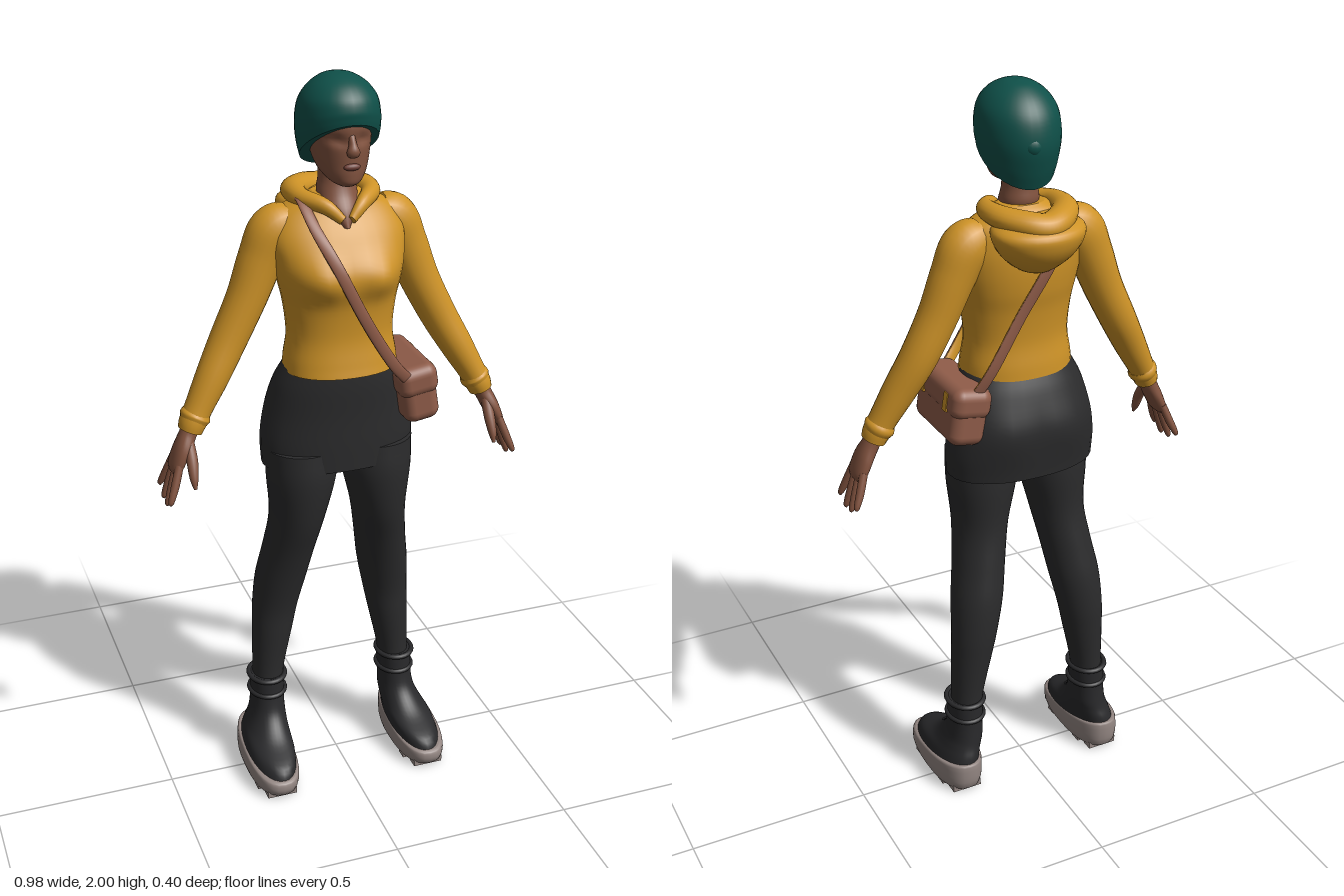
import * as THREE from 'three';
import { RoundedBoxGeometry } from 'three/addons/geometries/RoundedBoxGeometry.js';

const V = (x, y, z) => new THREE.Vector3(x, y, z);
const material = (name, color) => {
  const m = new THREE.MeshStandardMaterial({ color });
  m.name = name;
  return m;
};

// Skin over rings of {c, u, v}; u x v points along the run of rings
function skin(rings, power = 1, sides = 32) {
  const pos = [], index = [];
  const bend = (k) => Math.sign(k) * Math.abs(k) ** power;
  const addRing = ({ c, u, v }) => {
    const start = pos.length / 3;
    for (let j = 0; j < sides; j++) {
      const a = (j / sides) * Math.PI * 2;
      const p = c.clone().addScaledVector(u, bend(Math.cos(a))).addScaledVector(v, bend(Math.sin(a)));
      pos.push(p.x, p.y, p.z);
    }
    return start;
  };
  rings.forEach(addRing);
  for (let i = 0; i < rings.length - 1; i++) {
    for (let j = 0; j < sides; j++) {
      const a = i * sides + j, b = i * sides + ((j + 1) % sides);
      index.push(a, b, a + sides, b, b + sides, a + sides);
    }
  }
  // end caps with their own vertices so the rims stay crisp
  for (const end of [0, 1]) {
    const ring = rings[end ? rings.length - 1 : 0];
    const s = addRing(ring), mid = pos.length / 3;
    pos.push(ring.c.x, ring.c.y, ring.c.z);
    for (let j = 0; j < sides; j++) {
      const k = (j + 1) % sides;
      index.push(mid, s + (end ? j : k), s + (end ? k : j));
    }
  }
  const g = new THREE.BufferGeometry();
  g.setAttribute('position', new THREE.Float32BufferAttribute(pos, 3));
  g.setIndex(index);
  g.computeVertexNormals();
  return g;
}

// Smoothly resample rows of [x, y, z, a, b, tilt]
function resample(rows, steps) {
  const curve = (i) => new THREE.CatmullRomCurve3(
    rows.map((r) => V(r[i], r[i + 1], r[i + 2] ?? 0)), false, 'catmullrom', 0.5);
  const centre = curve(0), size = curve(3), n = (rows.length - 1) * steps;
  return Array.from({ length: n + 1 }, (_, i) => ({
    c: centre.getPoint(i / n), t: centre.getTangent(i / n), s: size.getPoint(i / n),
  }));
}

// Horizontal cross-sections listed from top to bottom; tilt lifts the front
function stack(rows, power = 1, steps = 5) {
  return skin(resample(rows, steps).map(({ c, s }) => ({ c, u: V(s.x, 0, 0), v: V(0, s.z, s.y) })), power);
}

// Cross-sections square to a path; the b radius lies towards ref
function limb(rows, ref = () => V(0, 0, 1), steps = 6) {
  return skin(resample(rows, steps).map(({ c, t, s }) => {
    const u = ref(c).cross(t).normalize();
    const v = t.clone().cross(u);
    return { c, u: u.multiplyScalar(s.x), v: v.multiplyScalar(s.y) };
  }), 1, 20);
}

// Push the surface along z by a rule
function pushZ(g, rule) {
  const p = g.attributes.position;
  for (let i = 0; i < p.count; i++) p.setZ(i, p.getZ(i) + rule(p.getX(i), p.getY(i), p.getZ(i)));
  g.computeVertexNormals();
  return g;
}
const bump = (dx, dy, w, h) => Math.exp(-((dx / w) ** 2) - (dy / h) ** 2);

export function createModel() {
  const root = new THREE.Group();
  const skinTone = material('skin', 0x82533f);
  const lipTone = material('lips', 0x6f4037);
  const mustard = material('mustard cloth', 0xce9327);
  const teal = material('teal knit', 0x0f5049);
  const charcoal = material('charcoal cloth', 0x2b2b2c);
  const bootBlack = material('boot black', 0x29292b);
  const rubber = material('sole rubber', 0x948783);
  const leather = material('brown leather', 0x8f5c49);
  const add = (name, geometry, mat, parent = root) => {
    const m = new THREE.Mesh(geometry, mat);
    m.name = name;
    parent.add(m);
    return m;
  };

  // Head, with shallow eye sockets
  add('head', pushZ(stack([
    [0, 1.95, 0.01, 0.06, 0.07], [0, 1.9, 0.015, 0.08, 0.103], [0, 1.85, 0.02, 0.078, 0.1],
    [0, 1.82, 0.023, 0.074, 0.097], [0, 1.79, 0.032, 0.067, 0.087], [0, 1.765, 0.046, 0.056, 0.073],
    [0, 1.745, 0.068, 0.038, 0.048], [0, 1.735, 0.078, 0.02, 0.025],
  ]), (x, y, z) => (z > 0.05 ? -0.011 * bump(Math.abs(x) - 0.032, y - 1.852, 0.017, 0.013) : 0)), skinTone);
  add('nose', limb([
    [0, 1.868, 0.113, 0.008, 0.006], [0, 1.845, 0.122, 0.01, 0.011],
    [0, 1.826, 0.127, 0.017, 0.014], [0, 1.815, 0.117, 0.01, 0.005],
  ]), skinTone);
  const lips = add('lips', new THREE.SphereGeometry(1, 16, 10), lipTone);
  lips.scale.set(0.022, 0.009, 0.009);
  lips.position.set(0, 1.788, 0.118);
  add('neck', stack([
    [0, 1.79, 0, 0.046, 0.045], [0, 1.74, 0, 0.046, 0.044], [0, 1.7, 0.005, 0.052, 0.052],
    [0, 1.665, 0.028, 0.046, 0.052], [0, 1.625, 0.055, 0.012, 0.04],
  ]), skinTone);

  // Knitted hat with a sloping hem
  add('hat', stack([
    [0, 2.0, 0.005, 0.004, 0.004, 0], [0, 1.993, 0.006, 0.038, 0.044, 0.004], [0, 1.97, 0.008, 0.073, 0.085, 0.01],
    [0, 1.935, 0.009, 0.097, 0.113, 0.018], [0, 1.89, 0.01, 0.105, 0.122, 0.035],
    [0, 1.85, 0.016, 0.104, 0.115, 0.056], [0, 1.82, 0.023, 0.098, 0.106, 0.073],
  ]), teal);
  const knot = add('hatFold', new THREE.SphereGeometry(0.03, 16, 12), teal);
  knot.position.set(0.01, 1.86, -0.085);

  // Hoodie body
  add('hoodieBody', pushZ(stack([
    [0, 1.7, -0.01, 0.06, 0.045], [0, 1.685, -0.01, 0.095, 0.062], [0, 1.655, -0.013, 0.152, 0.078],
    [0, 1.6, 0.002, 0.178, 0.1], [0, 1.54, 0.015, 0.174, 0.115], [0, 1.48, 0.022, 0.162, 0.117],
    [0, 1.42, 0.024, 0.149, 0.108], [0, 1.34, 0.025, 0.141, 0.103], [0, 1.275, 0.026, 0.15, 0.112],
    [0, 1.242, 0.028, 0.153, 0.117],
  ], 0.9), (x, y, z) => (z > 0.04 ? 0.03 * bump(Math.abs(x) - 0.072, y - 1.505, 0.06, 0.05) : 0)), mustard);

  // Hood lying on the back: a rolled rim and a hanging pouch
  const rim = [[0.012, 1.645, 0.088, 0.01, 0.012], [0.05, 1.678, 0.062, 0.018, 0.02], [0.092, 1.688, 0, 0.026, 0.024],
    [0.088, 1.688, -0.075, 0.034, 0.028], [0.045, 1.68, -0.13, 0.038, 0.032]];
  const mirrored = rim.map(([x, ...rest]) => [-x, ...rest]).reverse();
  const up = () => V(0, 1, 0);
  add('hoodRim', limb([...rim, [0, 1.672, -0.148, 0.04, 0.034], ...mirrored], up), mustard);
  add('hoodPouch', stack([
    [0, 1.685, -0.085, 0.08, 0.055], [0, 1.66, -0.1, 0.122, 0.095], [0, 1.625, -0.105, 0.118, 0.092],
    [0, 1.585, -0.1, 0.09, 0.075], [0, 1.55, -0.09, 0.045, 0.045], [0, 1.54, -0.085, 0.012, 0.015],
  ]), mustard);

  // Skirt
  add('skirt', pushZ(stack([
    [0, 1.26, 0.025, 0.148, 0.105], [0, 1.2, 0.012, 0.177, 0.118], [0, 1.12, 0, 0.198, 0.126],
    [0, 1.04, 0, 0.21, 0.125], [0, 0.967, 0.002, 0.208, 0.121],
  ], 0.92), (x, y, z) => (z < -0.04 ? -0.012 * bump(Math.abs(x) - 0.085, y - 1.09, 0.08, 0.07) : 0)), charcoal);

  for (const s of [1, -1]) {
    const side = s > 0 ? 'left' : 'right';
    const flip = (rows) => rows.map(([x, ...rest]) => [x * s, ...rest]);
    const group = (name) => {
      const g = new THREE.Group();
      g.name = side + name;
      root.add(g);
      return g;
    };

    // Sleeve and cuff
    const arm = group('Arm');
    add('sleeve', limb(flip([
      [0.11, 1.635, -0.015, 0.045, 0.05], [0.158, 1.605, -0.018, 0.066, 0.06], [0.195, 1.535, -0.018, 0.06, 0.056],
      [0.237, 1.435, -0.014, 0.053, 0.052], [0.29, 1.33, -0.008, 0.049, 0.05], [0.34, 1.24, 0.008, 0.044, 0.045],
      [0.382, 1.165, 0.02, 0.037, 0.039], [0.4, 1.13, 0.025, 0.036, 0.039], [0.409, 1.108, 0.027, 0.032, 0.036],
    ])), mustard, arm);
    add('cuffEdge', limb(flip([
      [0.386, 1.155, 0.021, 0.036, 0.038], [0.392, 1.144, 0.022, 0.041, 0.043], [0.398, 1.132, 0.024, 0.037, 0.039],
    ])), mustard, arm);

    // Hand with spread fingers
    add('palm', limb(flip([
      [0.4, 1.13, 0.025, 0.024, 0.027], [0.415, 1.1, 0.028, 0.023, 0.028], [0.435, 1.06, 0.034, 0.022, 0.041],
      [0.453, 1.02, 0.034, 0.018, 0.043], [0.46, 1.004, 0.034, 0.01, 0.036],
    ])), skinTone, arm);
    for (let i = 0; i < 4; i++) {
      const z = 0.066 - i * 0.022, reach = [0.082, 0.1, 0.096, 0.075][i], spread = 0.025 - i * 0.016;
      add('finger', limb(flip([
        [0.45, 1.03, z, 0.011, 0.011], [0.468, 1.015 - reach * 0.45, z + spread * 0.6, 0.011, 0.011],
        [0.482, 1.02 - reach * 0.95, z + spread, 0.008, 0.008], [0.484, 1.014 - reach, z + spread, 0.003, 0.003],
      ])), skinTone, arm);
    }
    add('thumb', limb(flip([
      [0.418, 1.085, 0.045, 0.014, 0.014], [0.418, 1.04, 0.075, 0.015, 0.013],
      [0.42, 1.0, 0.095, 0.011, 0.011], [0.42, 0.975, 0.106, 0.004, 0.004],
    ])), skinTone, arm);

    // Leg in leggings
    const leg = group('Leg');
    add('legging', stack(flip([
      [0.105, 1.02, 0.02, 0.098, 0.1], [0.107, 0.93, 0.02, 0.094, 0.104], [0.117, 0.81, 0.012, 0.075, 0.093],
      [0.134, 0.7, -0.014, 0.071, 0.084], [0.151, 0.6, -0.037, 0.071, 0.078], [0.166, 0.5, -0.05, 0.064, 0.067],
      [0.176, 0.42, -0.05, 0.057, 0.06], [0.19, 0.3, -0.048, 0.045, 0.05], [0.195, 0.22, -0.045, 0.042, 0.05],
    ])), charcoal, leg);

    // Ankle boot with collar and treaded sole
    const boot = group('Boot');
    add('bootUpper', stack(flip([
      [0.195, 0.278, -0.045, 0.049, 0.058], [0.197, 0.21, -0.043, 0.047, 0.061], [0.2, 0.16, -0.036, 0.05, 0.072],
      [0.207, 0.125, -0.012, 0.056, 0.1, -0.01], [0.215, 0.095, 0.025, 0.063, 0.146, -0.014],
      [0.221, 0.06, 0.034, 0.067, 0.158, -0.02], [0.221, 0.04, 0.034, 0.067, 0.156, 0],
    ]), 0.95), bootBlack, boot);
    for (const [y, r] of [[0.275, 0.051], [0.225, 0.05]]) {
      const band = add('bootBand', new THREE.TorusGeometry(r, 0.007, 8, 28), bootBlack, boot);
      band.rotation.x = Math.PI / 2;
      band.scale.y = 1.17;
      band.position.set(0.196 * s, y, -0.044);
    }
    add('sole', stack(flip([
      [0.22, 0.076, 0.034, 0.064, 0.158, -0.02], [0.221, 0.07, 0.034, 0.07, 0.166, -0.02],
      [0.222, 0.035, 0.035, 0.071, 0.166, -0.004], [0.222, 0.014, 0.035, 0.066, 0.158, 0],
    ]), 0.82, 3), rubber, boot);
    for (let i = 0; i < 6; i++) {
      const w = [0.085, 0.11, 0.105, 0.11, 0.115, 0.085][i];
      const lug = add('tread', new THREE.BoxGeometry(w, 0.02, 0.034), rubber, boot);
      lug.position.set(0.222 * s, 0.01, -0.09 + i * 0.05);
    }
  }

  // Shoulder bag on the left hip
  const bag = new THREE.Group();
  bag.name = 'bag';
  bag.position.set(0.186, 1.165, 0.025);
  bag.rotation.z = 0.16;
  root.add(bag);
  add('bagBody', new RoundedBoxGeometry(0.1, 0.155, 0.25, 4, 0.03), leather, bag);
  const flap = add('bagFlap', new RoundedBoxGeometry(0.112, 0.085, 0.262, 4, 0.03), leather, bag);
  flap.position.y = 0.04;
  for (const z of [-0.07, 0.07]) {
    const tab = add('bagTab', new THREE.BoxGeometry(0.006, 0.05, 0.022), mustard, bag);
    tab.position.set(0.055, 0.035, z);
  }

  // Cross-body strap with a mustard lining
  const path = [[0.15, 1.215, 0.145], [0.106, 1.265, 0.16], [0.055, 1.345, 0.163], [0.008, 1.43, 0.164],
    [-0.045, 1.54, 0.152], [-0.085, 1.63, 0.092], [-0.1, 1.694, 0.005], [-0.092, 1.665, -0.095],
    [-0.03, 1.56, -0.117], [0.05, 1.43, -0.109], [0.125, 1.3, -0.104], [0.17, 1.22, -0.085]];
  const outward = (p) => V(0, Math.max(0, p.y - 1.58), p.z);
  const strap = (inset) => limb(path.map(([x, y, z]) => [x, y, z * (1 - inset), 0.015, 0.005]), outward);
  add('strap', strap(0), leather);
  add('strapLining', strap(0.035), mustard);
  return root;
}
